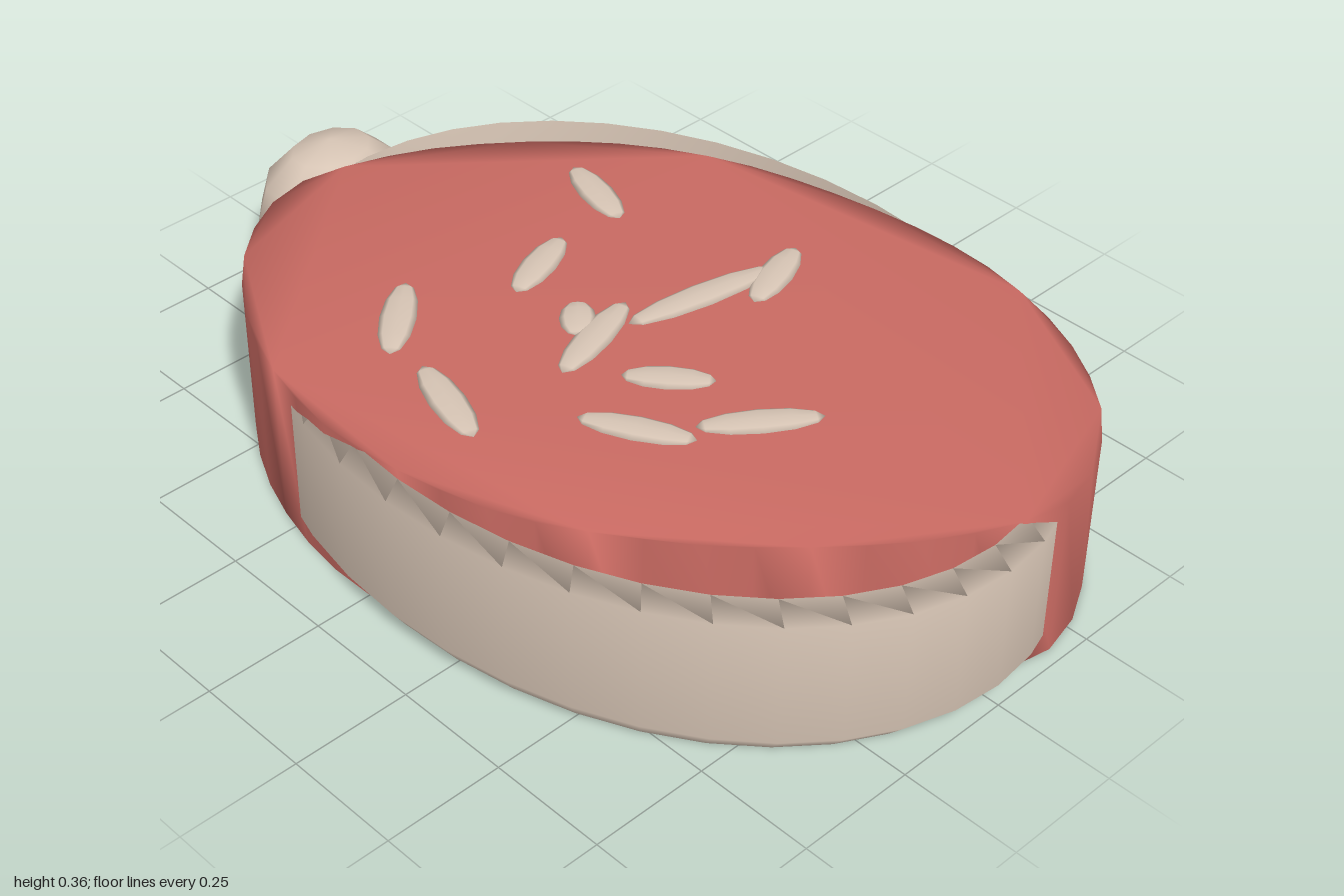
import * as THREE from 'three';
import { mergeVertices } from 'three/addons/utils/BufferGeometryUtils.js';

export function createModel() {
  const group = new THREE.Group();
  const red = new THREE.MeshStandardMaterial({ color: 0xc96a62 });
  red.name = 'meat red';
  const cream = new THREE.MeshStandardMaterial({ color: 0xd6c4b4 });
  cream.name = 'fat and bone cream';

  const add = (name, geometry, material, parent = group) => {
    const mesh = new THREE.Mesh(geometry, material);
    mesh.name = name;
    parent.add(mesh);
    return mesh;
  };

  // Meat slab: skewed oval outline (x, z), pulled straight up, softly shaded over its rim
  const outline = [
    [0.97, -0.18], [0.89, 0.04], [0.67, 0.31], [0.51, 0.44], [0.33, 0.55], [0.09, 0.615],
    [-0.13, 0.625], [-0.4, 0.555], [-0.61, 0.42], [-0.72, 0.28], [-0.755, 0.16], [-0.69, -0.07],
    [-0.555, -0.27], [-0.4, -0.42], [-0.21, -0.53], [0.03, -0.6], [0.3, -0.632], [0.49, -0.612],
    [0.7, -0.535], [0.88, -0.39],
  ];
  const curve = new THREE.CatmullRomCurve3(
    outline.map(([x, z]) => new THREE.Vector3(x, -z, 0)), true);
  const shape = new THREE.Shape(
    curve.getSpacedPoints(48).slice(0, -1).map(p => new THREE.Vector2(p.x, p.y)));
  let slab = new THREE.ExtrudeGeometry(shape, { depth: 0.35, bevelEnabled: false });
  slab.rotateX(-Math.PI / 2);
  slab.deleteAttribute('uv');
  slab.deleteAttribute('normal');
  slab = mergeVertices(slab, 1e-4);
  slab.computeVertexNormals();
  add('meatSlab', slab, red);

  // Fat band: thin oval ring with a chamfered outside
  const profile = [[0.845, 0], [0.885, 0.045], [0.885, 0.315], [0.845, 0.35], [0.845, 0]]
    .map(([r, y]) => new THREE.Vector2(r, y));
  const band = add('fatBand', new THREE.LatheGeometry(profile, 40), cream);
  band.scale.z = 0.66 / 0.885;
  band.position.x = 0.11;

  // Bone: short shaft entering the meat, with a rounded knob
  const bone = new THREE.Group();
  bone.name = 'bone';
  bone.position.y = 0.177;
  group.add(bone);
  const shaft = add('boneShaft', new THREE.CylinderGeometry(0.1, 0.1, 0.34, 10), cream, bone);
  shaft.rotation.z = Math.PI / 2;
  shaft.position.x = -0.67;
  const knob = add('boneKnob', new THREE.SphereGeometry(1, 10, 6), cream, bone);
  knob.scale.set(0.142, 0.158, 0.18);
  knob.position.x = -0.86;

  // Marbling flecks: flat slivers given by their two ends [x1, z1, x2, z2]
  const flecks = [
    [-0.41, -0.28, -0.21, -0.22], [0.105, -0.4, 0.175, -0.21], [0.12, -0.32, 0.06, 0.015],
    [-0.24, -0.09, -0.165, 0.1], [0.005, -0.03, 0.085, 0.21], [-0.06, 0.035, 0.02, 0.11],
    [0.165, 0.135, 0.3, 0.02], [0.37, 0.145, 0.51, -0.05], [0.2, 0.28, 0.4, 0.17],
    [-0.335, 0.235, -0.18, 0.405], [-0.11, 0.385, 0.115, 0.455],
  ];
  const fleckGeometry = new THREE.SphereGeometry(1, 8, 6).rotateZ(Math.PI / 2);
  for (const [x1, z1, x2, z2] of flecks) {
    const fleck = add('marblingFleck', fleckGeometry, cream);
    fleck.scale.set(Math.hypot(x2 - x1, z2 - z1) / 2, 0.009, 0.036);
    fleck.rotation.y = -Math.atan2(z2 - z1, x2 - x1);
    fleck.position.set((x1 + x2) / 2, 0.351, (z1 + z2) / 2);
  }

  return group;
}
